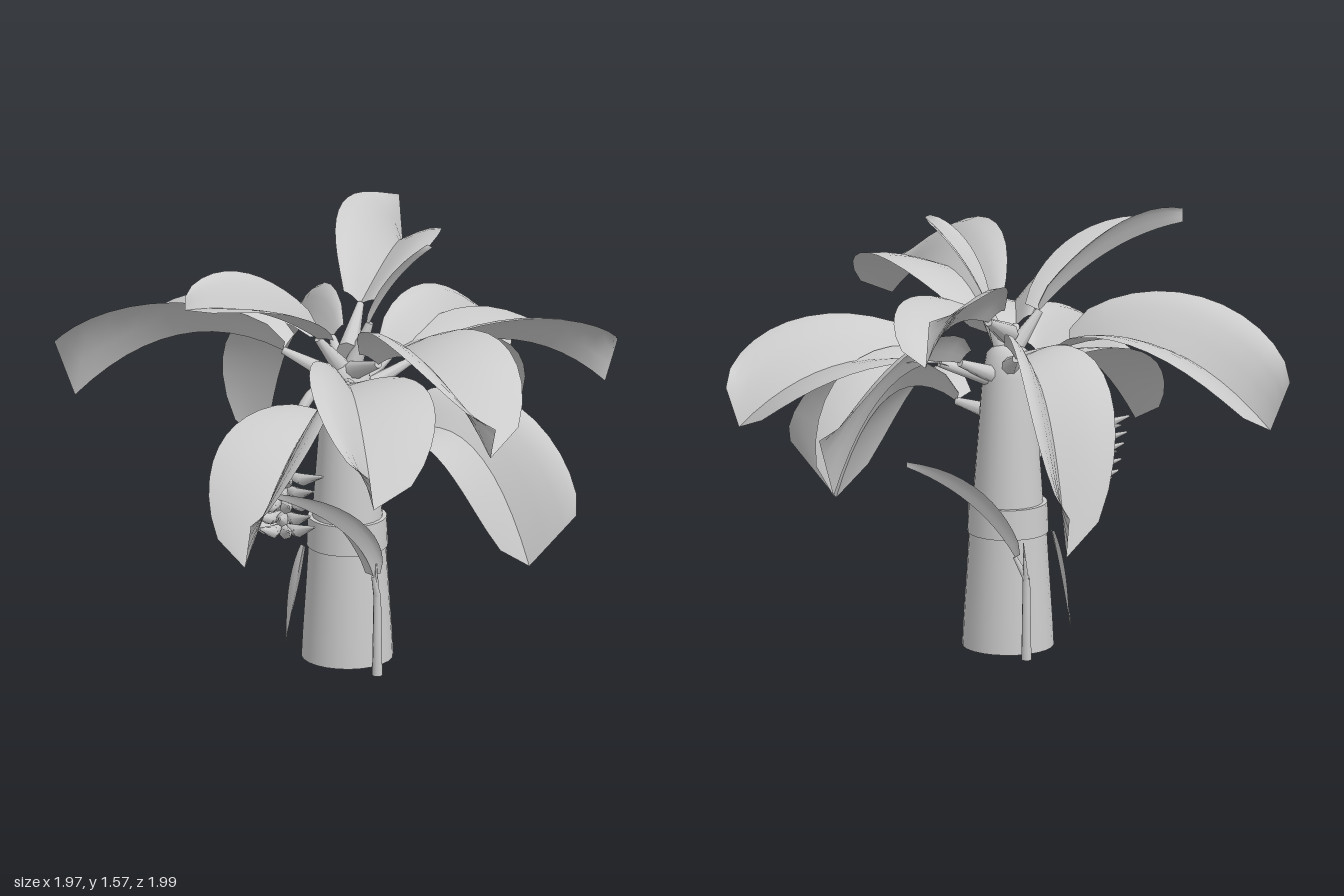
import * as THREE from 'three';

const V = (p) => new THREE.Vector3(...p);
const grey = new THREE.MeshStandardMaterial({ color: 0xcccccc, side: THREE.DoubleSide });
grey.name = 'light grey';

const CROWN = { x: 0.11, z: -0.05 }; // trunk axis
const RIGHT = 1, LEFT = -1; // sides of a leaf, looking outwards along its rib

function part(geometry, name, parent) {
  const mesh = new THREE.Mesh(geometry, grey);
  mesh.name = name;
  parent.add(mesh);
  return mesh;
}

// Tapered round bar between two points
function spike(a, b, r0, r1, name, parent, sides = 8) {
  const from = V(a), dir = V(b).sub(from);
  const mesh = part(new THREE.CylinderGeometry(r1, r0, dir.length(), sides), name, parent);
  mesh.position.copy(from).addScaledVector(dir, 0.5);
  mesh.quaternion.setFromUnitVectors(new THREE.Vector3(0, 1, 0), dir.normalize());
}

// One half of a blade: steep beside the rib, flatter outwards, its edge ending at an offset from the rib tip
function halfBlade(rib, side, [out, up], bluntness, end) {
  const along = 12, across = 4, pos = [], index = [];
  for (let i = 0; i <= along; i++) {
    const t = i / along;
    const p = rib.getPoint(t), T = rib.getTangent(t);
    const S = new THREE.Vector3(-T.z, 0, T.x).normalize();
    const N = new THREE.Vector3().crossVectors(S, T).normalize();
    const w = side * out * Math.pow(Math.max(0, Math.sin(Math.PI * (0.05 + 0.95 * Math.pow(t, 1.15)))), bluntness);
    const blend = t * t * t;
    const rise = N.multiplyScalar(up * (0.25 + 0.75 * Math.sqrt(t)) * (1 - blend)).addScaledVector(end, blend);
    for (let j = 0; j <= across; j++) {
      const s = j / across;
      const q = p.clone().addScaledVector(S, w * s).addScaledVector(rise, Math.sin(s * Math.PI / 2));
      pos.push(q.x, q.y, q.z);
      if (i < along && j < across) {
        const a = i * (across + 1) + j, b = a + across + 1;
        if (side > 0) index.push(a, b, a + 1, b, b + 1, a + 1);
        else index.push(a, a + 1, b, b, a + 1, b + 1);
      }
    }
  }
  const g = new THREE.BufferGeometry();
  g.setAttribute('position', new THREE.Float32BufferAttribute(pos, 3));
  g.setIndex(index);
  g.computeVertexNormals();
  return g;
}

// Folded blade whose rib passes through base, mid and tip: one half lies flat, the other stands up
function blade(base, mid, tip, end, flatSide, flat, steep, name, parent) {
  const b = V(base), t = V(tip);
  const control = V(mid).multiplyScalar(2).addScaledVector(b, -0.5).addScaledVector(t, -0.5);
  const rib = new THREE.QuadraticBezierCurve3(b, control, t);
  const leaf = new THREE.Group();
  leaf.name = name;
  part(halfBlade(rib, flatSide, flat, 0.48, V([0, 0, 0])), 'flatHalf', leaf);
  part(halfBlade(rib, -flatSide, steep, 0.62, V(end)), 'raisedHalf', leaf);
  parent.add(leaf);
  return leaf;
}

// Young side shoot: stem, leaf stalk and single folded leaf
function shoot(parent, foot, neck, mid, tip) {
  const group = new THREE.Group();
  group.name = 'sideShoot';
  const top = [foot[0], 0.3, foot[2]];
  spike(foot, top, 0.019, 0.014, 'shootStem', group);
  spike(top, neck, 0.014, 0.008, 'shootStalk', group);
  blade(neck, mid, tip, [0, 0.02, 0], RIGHT, [0.1, 0.03], [0.05, 0.09], 'shootLeaf', group);
  spike([foot[0], 0.28, foot[2]], [foot[0], 0.44, foot[2] * 1.15], 0.011, 0.002, 'shootBud', group);
  parent.add(group);
}

// Hanging fruit bunch
function fruitBunch(parent) {
  const bunch = new THREE.Group();
  bunch.name = 'fruitBunch';
  const cx = -0.07, cz = 0.2;
  const path = new THREE.CatmullRomCurve3([
    V([0.1, 1.0, -0.03]), V([0.02, 1.04, 0.09]), V([-0.04, 0.92, 0.17]), V([cx, 0.75, cz]), V([cx, 0.53, cz])]);
  part(new THREE.TubeGeometry(path, 20, 0.02, 8), 'bunchStalk', bunch);
  for (let row = 0; row < 5; row++) {
    const y = 0.55 + row * 0.05, len = 0.12 + 0.01 * row, n = 6;
    for (let k = 0; k < n; k++) {
      const a = Math.PI * 0.75 + (k / (n - 1) - 0.5) * 3.6 + (row % 2) * 0.2;
      const at = (r, up) => [cx + Math.cos(a) * r, y + up, cz + Math.sin(a) * r];
      spike(at(0.01, 0.01), at(len * 0.55, 0.005), 0.012, 0.024, 'fruitBase', bunch, 6);
      spike(at(len * 0.55, 0.005), at(len + 0.03, 0.04), 0.024, 0.004, 'fruitEnd', bunch, 6);
    }
  }
  parent.add(bunch);
}

export function createModel() {
  const model = new THREE.Group();
  model.name = 'broadLeafPlant';

  // Trunk, open below: wide foot, sheath band, slim upper stem with rounded crown
  const profile = (pts) => new THREE.LatheGeometry(pts.map((p) => new THREE.Vector2(...p)), 24);
  const trunk = new THREE.Group();
  trunk.name = 'trunk';
  trunk.position.set(CROWN.x, 0, CROWN.z);
  part(profile([[0.165, 0], [0.16, 0.1], [0.147, 0.3], [0.138, 0.45]]), 'trunkFoot', trunk);
  part(profile([[0.146, 0.42], [0.142, 0.53]]), 'sheathBand', trunk);
  part(profile([[0.142, 0.53], [0.12, 0.53]]), 'sheathRim', trunk);
  part(profile([[0.133, 0.42], [0.122, 0.6], [0.107, 0.8], [0.092, 1.0], [0.077, 1.08], [0.045, 1.11], [0, 1.12]]), 'upperTrunk', trunk);
  model.add(trunk);

  // Crown leaf with its stalk: rib base, middle, tip, raised tip offset, flat side, [out, up] of flat and raised half, stalk drop
  const L = (base, mid, tip, end, flatSide, flat, steep, drop = 0.1) => {
    const leaf = blade(base, mid, tip, end, flatSide, flat, steep, 'crownLeaf', model);
    spike([CROWN.x, base[1] - drop, CROWN.z], base, 0.04, 0.014, 'leafStalk', leaf);
  };
  L([-0.13, 1.13, -0.07], [-0.52, 1.15, -0.1], [-0.9, 0.89, -0.12], [-0.08, 0.19, -0.02], RIGHT, [0.28, 0.1], [0.16, 0.22]);
  L([0.01, 1.12, -0.27], [-0.18, 1.03, -0.51], [-0.33, 0.53, -0.74], [-0.05, 0.18, -0.12], LEFT, [0.23, 0.08], [0.12, 0.2]);
  L([0.11, 1.25, -0.28], [0.14, 1.32, -0.63], [0.12, 1.26, -0.99], [-0.01, 0.17, 0.01], RIGHT, [0.18, 0.12], [0.18, 0.2]);
  L([0.23, 1.08, -0.24], [0.4, 1.05, -0.54], [0.52, 0.71, -0.82], [0.01, 0.24, -0.14], RIGHT, [0.2, 0.06], [0.15, 0.21]);
  L([0.31, 1.07, -0.23], [0.64, 1.09, -0.46], [0.93, 0.89, -0.65], [0.04, 0.15, -0.03], LEFT, [0.27, 0.06], [0.2, 0.18]);
  L([0.32, 0.87, 0], [0.59, 0.85, 0.05], [0.81, 0.44, 0.12], [0.17, 0.2, -0.01], RIGHT, [0.28, 0.04], [0.13, 0.21], 0.03);
  L([0.26, 1.17, 0.13], [0.51, 1.26, 0.41], [0.79, 1.05, 0.72], [0.02, 0.11, 0], LEFT, [0.28, 0.1], [0.2, 0.19]);
  L([0.16, 1.11, 0.2], [0.27, 1.11, 0.53], [0.39, 0.87, 0.85], [0, 0.14, 0.07], LEFT, [0.27, 0.06], [0.18, 0.19]);
  L([0.06, 1.0, 0.18], [0.01, 0.92, 0.55], [-0.08, 0.62, 0.855], [0.05, 0.21, 0.14], RIGHT, [0.26, 0.05], [0.15, 0.22], 0.06);
  L([0.02, 1.22, 0.04], [-0.16, 1.39, 0.28], [-0.37, 1.46, 0.51], [0, 0.05, 0], LEFT, [0.18, 0.05], [0.09, 0.17], 0.16);
  L([0.19, 1.26, -0.06], [0.29, 1.43, -0.06], [0.42, 1.56, -0.06], [-0.02, 0.01, 0], LEFT, [0.06, 0.03], [0.06, 0.04], 0.22);

  fruitBunch(model);

  // Side shoots
  shoot(model, [0.26, 0, 0.15], [0.25, 0.38, 0.17], [0.16, 0.58, 0.28], [-0.04, 0.75, 0.46]);
  shoot(model, [-0.02, 0, -0.24], [0.02, 0.38, -0.25], [0.17, 0.58, -0.31], [0.37, 0.73, -0.43]);

  // Dry leaf strip hanging beside the trunk
  blade([-0.04, 0.42, 0.0], [-0.07, 0.24, 0.02], [-0.1, 0.05, 0.03], [0, 0.01, 0], LEFT, [0.045, 0.01], [0.045, 0.015], 'dryLeaf', model);

  return model;
}
